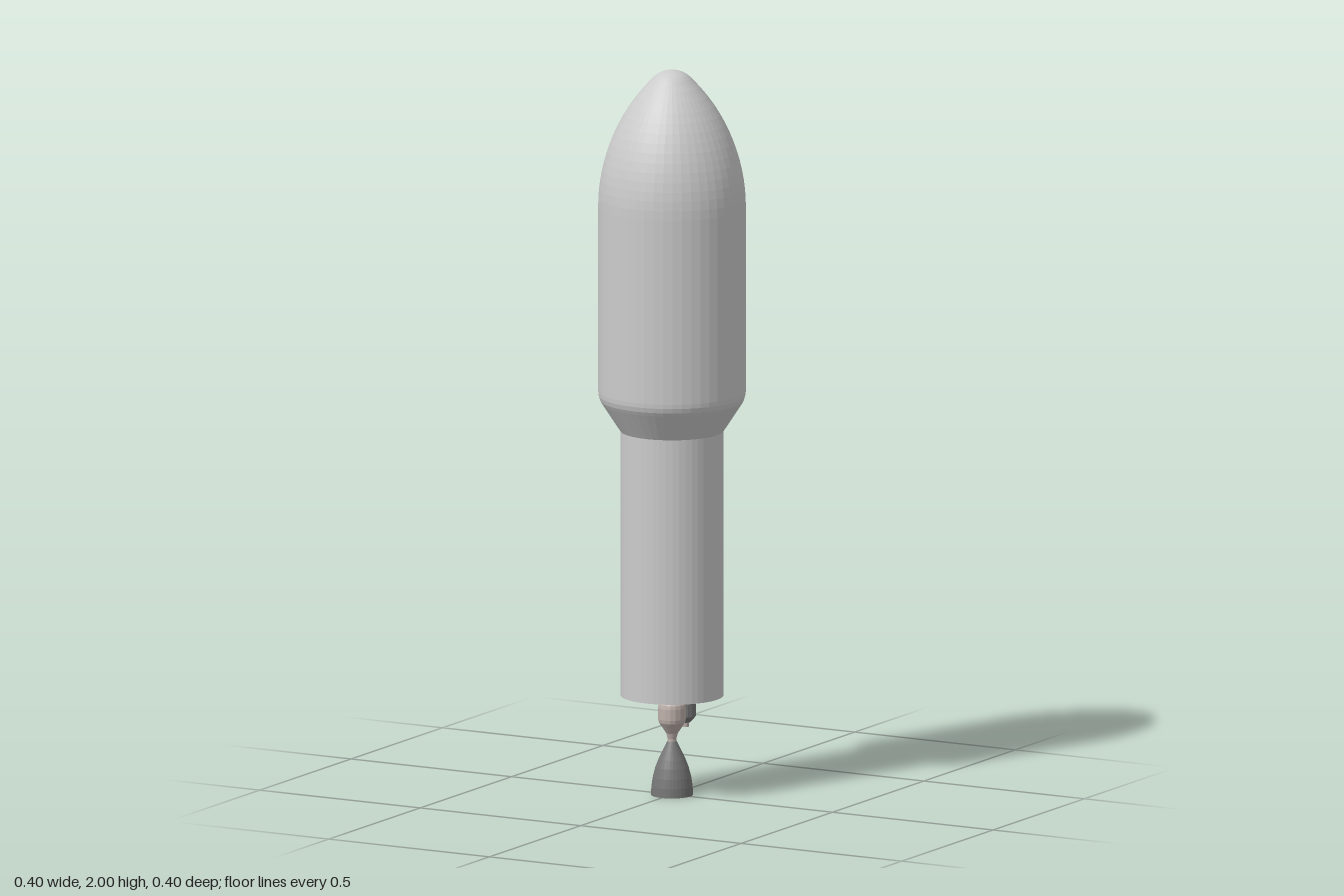
import * as THREE from 'three';

const paint = (color, side = THREE.FrontSide) =>
  new THREE.MeshStandardMaterial({ color, flatShading: true, side });

// Turned part from [radius, y] pairs, listed bottom to top
function turned(name, pairs, segments, material) {
  const points = pairs.map(([r, y]) => new THREE.Vector2(r, y));
  const mesh = new THREE.Mesh(new THREE.LatheGeometry(points, segments), material);
  mesh.name = name;
  return mesh;
}

export function createModel() {
  const model = new THREE.Group();
  model.name = 'rocketUpperStage';
  const grey = paint(0xcccccc);
  const dark = paint(0x777777);
  const metal = paint(0xbdb0aa);

  // Cylindrical tank section
  model.add(turned('stageBody', [[0, 0.275], [0.14, 0.275], [0.14, 1.01], [0, 1.01]], 48, grey));

  // Payload fairing: flared base, straight wall, ogive and rounded tip
  const fairing = [[0, 1.005], [0.14, 1.005], [0.189, 1.08], [0.195, 1.09], [0.199, 1.103], [0.2, 1.115]];
  const baseY = 1.623, arc = 0.5, ogiveHeight = 0.355;
  for (let i = 0; i <= 14; i++) {
    const dy = ogiveHeight * i / 14;
    fairing.push([Math.sqrt(arc * arc - dy * dy) - arc + 0.2, baseY + dy]);
  }
  const [capR, capY] = fairing[fairing.length - 1];
  for (let i = 1; i <= 5; i++) {
    const a = (Math.PI / 4) * (1 - i / 5);
    const R = capR * Math.SQRT2;
    fairing.push([R * Math.sin(a), capY + (2 - capY) * (Math.cos(a) - Math.SQRT1_2) / (1 - Math.SQRT1_2)]);
  }
  model.add(turned('payloadFairing', fairing, 48, grey));

  // Engine chamber with its neck and throat
  model.add(turned('engineChamber', [
    [0.012, 0.14], [0.012, 0.155], [0.016, 0.17], [0.036, 0.2], [0.038, 0.21],
    [0.038, 0.24], [0.036, 0.25], [0.026, 0.262], [0.026, 0.28],
  ], 16, metal));

  // Open bell nozzle
  model.add(turned('engineNozzle', [
    [0.057, 0], [0.056, 0.025], [0.052, 0.05], [0.045, 0.077],
    [0.036, 0.1], [0.025, 0.123], [0.013, 0.147],
  ], 32, paint(0x777777, THREE.DoubleSide)));

  // Small exhaust pod behind the engine
  const pod = new THREE.Group();
  pod.name = 'exhaustPod';
  pod.add(turned('podBody', [[0, 0.188], [0.014, 0.188], [0.029, 0.205], [0.029, 0.28]], 16, dark));
  pod.add(turned('podOutlet', [[0, 0.175], [0.01, 0.175], [0.01, 0.19]], 12, metal));
  pod.position.z = -0.073;
  model.add(pod);

  return model;
}
